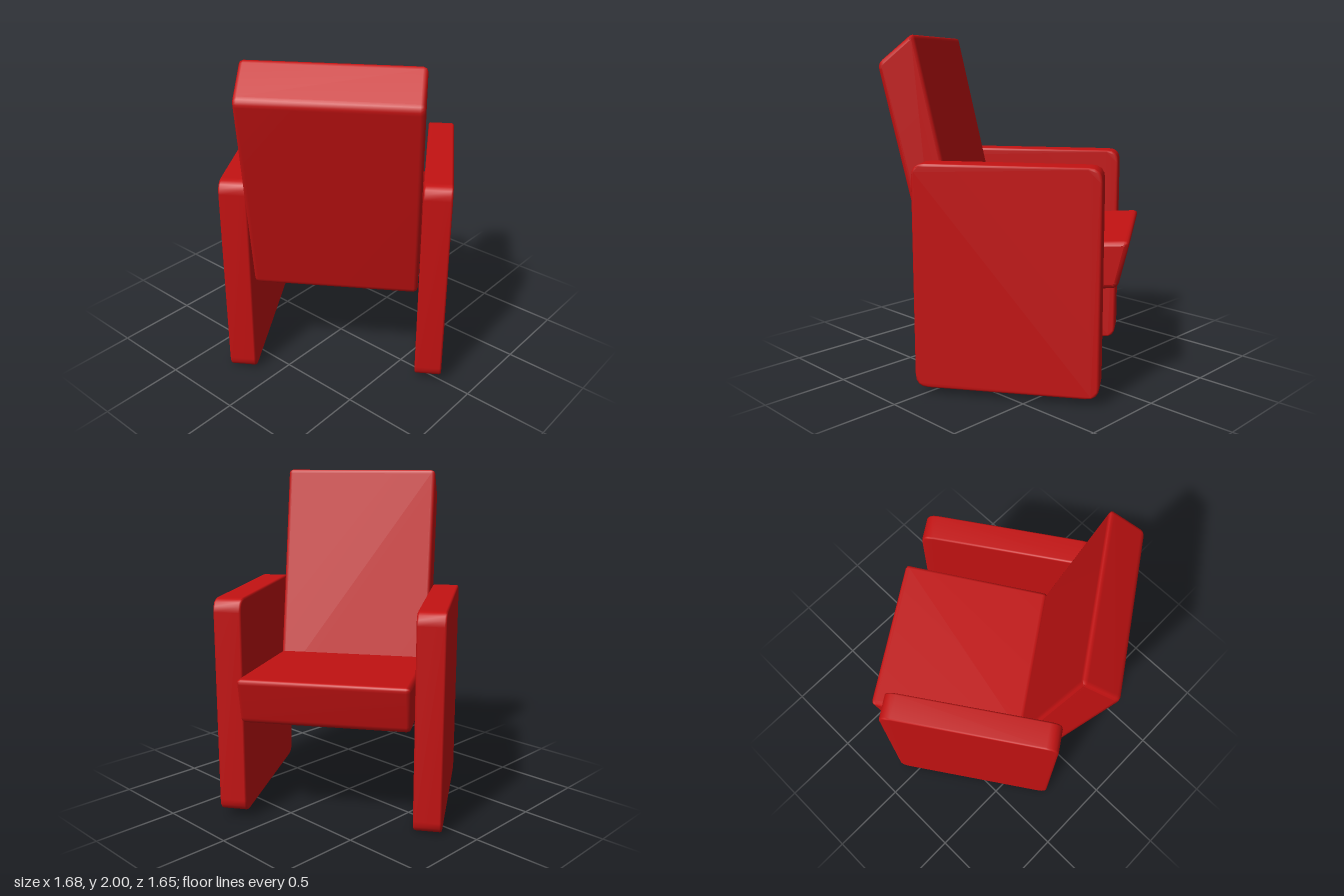
import * as THREE from 'three';
import { mergeVertices } from 'three/addons/utils/BufferGeometryUtils.js';

const red = new THREE.MeshStandardMaterial({ color: 0xc41212 });

// Closed side profile with every corner rounded off by radius r
function roundedProfile(points, r) {
  const shape = new THREE.Shape();
  const pts = points.map(([x, y]) => new THREE.Vector2(x, y));
  const toward = (a, b) => a.clone().add(b.clone().sub(a).setLength(r));
  pts.forEach((p, i) => {
    const start = toward(p, pts[(i + pts.length - 1) % pts.length]);
    const end = toward(p, pts[(i + 1) % pts.length]);
    if (i === 0) shape.moveTo(start.x, start.y);
    else shape.lineTo(start.x, start.y);
    shape.quadraticCurveTo(p.x, p.y, end.x, end.y);
  });
  shape.closePath();
  return shape;
}

// Padded slab: a side profile carried across the chair from z0 to z1, smooth shaded
function slab(name, points, radius, z0, z1, bevel) {
  let geo = new THREE.ExtrudeGeometry(roundedProfile(points, radius), {
    depth: z1 - z0 - 2 * bevel,
    bevelThickness: bevel,
    bevelSize: bevel,
    bevelOffset: -bevel,
    bevelSegments: 2,
    curveSegments: 4,
  });
  geo.translate(0, 0, z0 + bevel);
  geo.deleteAttribute('uv');
  geo.deleteAttribute('normal');
  geo = mergeVertices(geo, 1e-4);
  geo.computeVertexNormals();
  const mesh = new THREE.Mesh(geo, red);
  mesh.name = name;
  return mesh;
}

export function createModel() {
  const model = new THREE.Group();
  model.name = 'armchair';

  // The chair is built facing +x, then turned to its standing angle
  const chair = new THREE.Group();
  chair.name = 'chairBody';
  chair.rotation.y = 0.586;
  model.add(chair);

  // Side panels serving as legs and armrests
  const arm = (name, y0, y1, z0, z1) =>
    slab(name, [[-0.485, y0], [0.555, y0], [0.555, y1], [-0.485, y1]], 0.075, z0, z1, 0.012);
  chair.add(arm('leftArm', 0, 1.28, -0.635, -0.472));
  chair.add(arm('rightArm', 0.04, 1.315, 0.508, 0.67));

  // Seat cushion, rising slightly to the front
  chair.add(slab('seat',
    [[-0.22, 0.575], [0.63, 0.625], [0.695, 0.897], [-0.26, 0.835]], 0.035, -0.462, 0.503, 0.025));

  // Reclined backrest with a sloping top
  chair.add(slab('backrest',
    [[-0.44, 0.61], [-0.2, 0.61], [-0.51, 2.015], [-0.722, 1.845]], 0.035, -0.462, 0.503, 0.025));

  return model;
}
